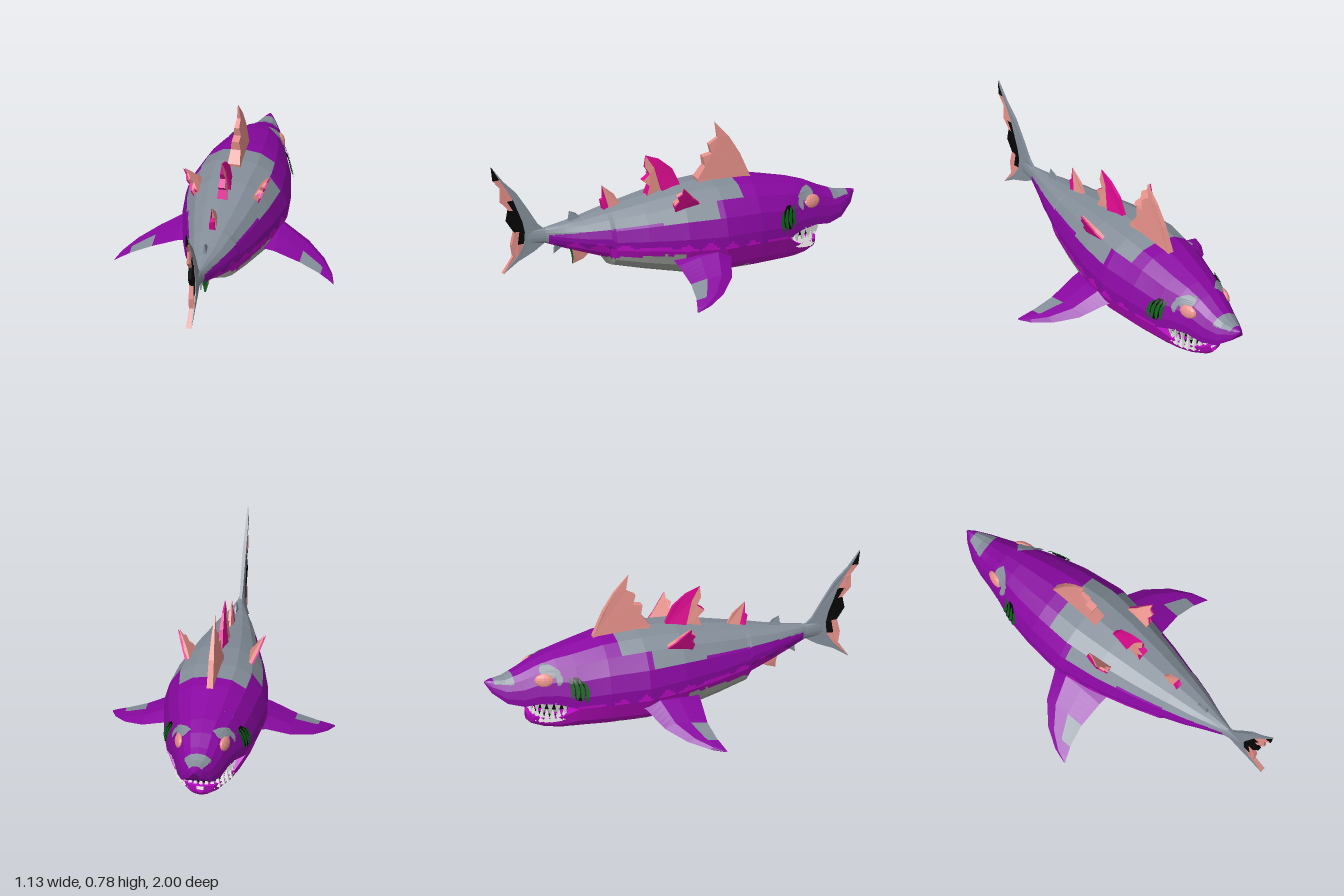
import * as THREE from 'three';

const mat = (name, color) => {
  const m = new THREE.MeshStandardMaterial({ color, flatShading: true, side: THREE.DoubleSide });
  m.name = name;
  return m;
};
const M = {
  purple: mat('purple skin', 0x8a08a2), bright: mat('bright violet', 0xb80ac0),
  slate: mat('slate grey', 0x858f9a), belly: mat('belly grey', 0xa2a79f),
  salmon: mat('salmon', 0xea938c), magenta: mat('magenta', 0xde0a90),
  black: mat('black', 0x050505), white: mat('tooth white', 0xffffff), green: mat('dark green', 0x0d5f1a),
};

// Half outline of the body: [width fraction, height fraction], top to bottom
const SPLIT = 0.38;
const BODY = [[0, 1], [0.4, 0.97], [0.69, 0.875], [0.9, 0.71], [1, 0.52], [1, SPLIT], [0.85, 0.19], [0.68, 0.1], [0.46, 0.045], [0, 0]];
const UPPER = [...BODY.slice(0, 6).map(([x, y]) => [x, (y - SPLIT) / (1 - SPLIT)]), [0, 0]];
const LOWER = [[0, 1], ...BODY.slice(5).map(([x, y]) => [x, y / SPLIT])];

// Stations along the length: [z, half width, top, bottom]
const TRUNK = [[-0.56, 0.2, 0.44, 0.01], [-0.4, 0.237, 0.475, 0.008], [-0.2, 0.262, 0.49, 0.01], [0, 0.237, 0.48, 0.03],
  [0.2, 0.19, 0.445, 0.075], [0.36, 0.143, 0.415, 0.115], [0.385, 0.135, 0.41, 0.16], [0.5, 0.098, 0.385, 0.2],
  [0.6, 0.058, 0.37, 0.235], [0.7, 0.022, 0.357, 0.275], [0.8, 0.01, 0.36, 0.28]];
const HEAD = [[-1, 0.004, 0.306, 0.296], [-0.97, 0.035, 0.312, 0.25], [-0.9, 0.08, 0.318, 0.2], [-0.82, 0.11, 0.35, 0.185],
  [-0.74, 0.135, 0.39, 0.2], [-0.65, 0.165, 0.42, 0.195], [-0.56, 0.2, 0.44, 0.173]];
const JAW = [[-0.78, 0.02, 0.1, 0.06], [-0.76, 0.07, 0.1, 0.04], [-0.7, 0.11, 0.1, 0.02], [-0.63, 0.155, 0.12, 0.012], [-0.56, 0.2, 0.173, 0.01]];

const lerp = THREE.MathUtils.lerp;
// Linear subdivision keeps the broad facets but allows fine colour borders
function subdivide(rows, step) {
  const out = [rows[0]];
  for (let i = 1; i < rows.length; i++) {
    const a = rows[i - 1], b = rows[i], n = step(a, b);
    for (let k = 1; k <= n; k++) out.push(a.map((v, c) => lerp(v, b[c], k / n)));
  }
  return out;
}

// Quads between consecutive closed rings
function skin(rings) {
  const quads = [];
  for (let i = 0; i + 1 < rings.length; i++) {
    const p = rings[i], q = rings[i + 1], n = p.length;
    for (let j = 0; j < n; j++) quads.push([p[j], q[j], q[(j + 1) % n], p[(j + 1) % n]]);
  }
  return quads;
}
// Quads sorted into one geometry group per material
function paintedMesh(name, quads, rule) {
  const sets = new Map();
  for (const q of quads) {
    const m = rule(...[0, 1, 2].map(k => (q[0][k] + q[1][k] + q[2][k] + q[3][k]) / 4));
    if (!sets.has(m)) sets.set(m, []);
    sets.get(m).push(...[0, 2, 3, 0, 1, 2].flatMap(k => q[k]));
  }
  const geo = new THREE.BufferGeometry(), all = [], mats = [...sets.keys()];
  mats.forEach((m, i) => {
    geo.addGroup(all.length / 3, sets.get(m).length / 3, i);
    for (const v of sets.get(m)) all.push(v);
  });
  geo.setAttribute('position', new THREE.Float32BufferAttribute(all, 3));
  geo.computeVertexNormals();
  const mesh = new THREE.Mesh(geo, mats);
  mesh.name = name;
  return mesh;
}
function loft(name, stations, profile, rule) {
  const half = subdivide(profile, () => 5);
  const outline = [...half, ...half.slice(1, -1).reverse().map(([x, y]) => [-x, y])];
  const rows = subdivide(stations, (a, b) => Math.ceil((b[0] - a[0]) / 0.016));
  return paintedMesh(name, skin(rows.map(([z, w, t, b]) => outline.map(([x, y]) => [x * w, lerp(b, t, y), z]))), rule);
}

const zigzag = z => 0.05 * Math.abs(((z * 9) % 1 + 1) % 1 - 0.5) + 0.008 * Math.sin(z * 47);
function bodyColour(x, y, z) {
  if (z > 0.68) return M.slate;
  if (z > -0.33 && y > (z < -0.17 ? 0.425 : 0.355 - 0.03 * Math.max(0, z / 0.6))) return M.slate;
  if (z > -0.5 && z < 0.385 && y < (z > 0.02 ? 0.18 : z > -0.35 ? 0.055 : 0.02) + zigzag(z) * 0.4) return M.belly;
  return y < 0.21 + 0.07 * z + zigzag(z) ? M.bright : M.purple;
}

// Half width of the skin at a given z and y
function skinX(z, y) {
  const [S, P] = z < -0.56 ? [HEAD, UPPER] : [TRUNK, BODY];
  const i = Math.max(1, S.findIndex(s => s[0] >= z)), a = S[i - 1], b = S[i];
  const [, w, t, bot] = a.map((v, c) => lerp(v, b[c], (z - a[0]) / (b[0] - a[0])));
  const f = (y - bot) / (t - bot), j = Math.max(1, P.findIndex(p => p[1] <= f));
  return w * lerp(P[j - 1][0], P[j][0], (f - P[j - 1][1]) / (P[j][1] - P[j - 1][1]));
}

// Upright blade from a [z, y] outline, thinning towards the tip and the leading edge
function fin(name, pts, material, half, yBase, yTip) {
  const shape = new THREE.Shape(pts.map(([z, y]) => new THREE.Vector2(-z, y)));
  const geo = new THREE.ExtrudeGeometry(shape, { depth: 1, bevelEnabled: false });
  geo.translate(0, 0, -0.5).rotateY(Math.PI / 2);
  const zs = pts.map(q => q[0]), z0 = Math.min(...zs), z1 = Math.max(...zs);
  const p = geo.attributes.position;
  for (let i = 0; i < p.count; i++) {
    const k = THREE.MathUtils.clamp((p.getY(i) - yBase) / (yTip - yBase), 0, 0.95);
    const edge = Math.min(1, 0.45 + (p.getZ(i) - z0) / (z1 - z0));
    p.setX(i, 2 * p.getX(i) * half * (1 - k) * edge);
  }
  geo.computeVertexNormals();
  const mesh = new THREE.Mesh(geo, material);
  mesh.name = name;
  return mesh;
}

function pectoralFin(s) {
  // [x, leading z, trailing z, height, half thickness]
  const st = [[0.16, -0.29, 0.08, 0.16, 0.05], [0.25, -0.22, 0.07, 0.14, 0.042], [0.38, -0.165, 0.06, 0.085, 0.024],
    [0.48, -0.075, 0.075, 0.045, 0.014], [0.54, 0.02, 0.095, 0.018, 0.008], [0.565, 0.095, 0.105, 0.004, 0.002]];
  const rings = subdivide(st, () => 5).map(([x, l, t, y, h]) =>
    [[0, 0], [0.25, 1], [0.6, 0.7], [1, 0], [0.6, -0.7], [0.25, -1]].map(([f, v]) => [s * x, y + v * h, lerp(l, t, f)]));
  // Reverse on one side so the faces look outward
  const quads = skin(s > 0 ? rings : rings.map(r => [...r].reverse()));
  const faceOrder = s > 0 ? [0, 1, 2, 3, 4, 5] : [4, 3, 2, 1, 0, 5];
  let j = 0;
  return paintedMesh(s > 0 ? 'leftPectoralFin' : 'rightPectoralFin', quads, (x, y, z) => {
    const face = faceOrder[j++ % 6], out = Math.abs(x);
    if (out > 0.54) return M.purple;
    if (face > 2) return face === 3 ? M.slate : M.belly;
    return out > 0.37 && out < 0.49 && z > 0.015 ? M.slate : M.purple;
  });
}

// Curved strip lying on the head, widest in the middle
function skinStrip(name, s, m, [z0, y0], [z1, y1], w) {
  const rings = [], n = 8;
  for (let i = 0; i <= n; i++) {
    const bow = Math.sin(i / n * Math.PI), y = lerp(y0, y1, i / n);
    const z = lerp(z0, z1, i / n) + 0.01 * bow, hw = w * (0.35 + 0.65 * bow);
    rings.push([z - hw, z + hw].map(q => [s * (skinX(q, y) + 0.009), y, q]));
  }
  return paintedMesh(name, skin(rings), () => m);
}

// Half ring of gum with teeth standing in front of it
function toothRow(name, width, reach, y, gumY, gumHeight, dir) {
  const row = new THREE.Group();
  row.name = name;
  const gum = new THREE.Mesh(new THREE.CylinderGeometry(1, 1, gumHeight, 20, 1, true, Math.PI / 2, Math.PI), M.black);
  gum.name = 'gum';
  gum.scale.set(width - 0.012, 1, reach - 0.012);
  gum.position.set(0, gumY, -0.6);
  row.add(gum);
  const geo = new THREE.ConeGeometry(0.022, 0.072, 4);
  for (let i = -7; i <= 7; i++) {
    const u = (i / 7) * 1.46;
    const tooth = new THREE.Mesh(geo, M.white);
    tooth.name = 'tooth';
    tooth.position.set(width * Math.sin(u), y + (dir > 0 ? 0.03 * (i / 7) ** 2 : 0), -0.6 - reach * Math.cos(u));
    tooth.rotation.set(dir > 0 ? 0 : Math.PI, Math.PI / 4, 0);
    row.add(tooth);
  }
  return row;
}

export function createModel() {
  const g = new THREE.Group();
  g.name = 'shark';
  g.add(loft('trunk', TRUNK, BODY, bodyColour));
  g.add(loft('upperHead', HEAD, UPPER, (x, y, z) => z > -0.95 && z < -0.865 && y > 0.295 ? M.slate : M.purple));
  g.add(loft('lowerJaw', JAW, LOWER, () => M.bright));

  // Mouth
  const lining = new THREE.Mesh(new THREE.BoxGeometry(0.16, 0.13, 0.14), M.belly);
  lining.name = 'mouthLining';
  lining.position.set(0, 0.14, -0.62);
  g.add(lining);
  g.add(toothRow('upperTeeth', 0.152, 0.185, 0.168, 0.18, 0.05, -1));
  g.add(toothRow('lowerTeeth', 0.138, 0.15, 0.108, 0.105, 0.03, 1));

  for (const s of [1, -1]) {
    const side = s > 0 ? 'left' : 'right';
    g.add(pectoralFin(s));

    // Eye under a grey brow, and gill slits
    const eye = new THREE.Mesh(new THREE.SphereGeometry(1, 12, 8), M.salmon);
    eye.name = side + 'Eye';
    eye.scale.set(0.017, 0.035, 0.05);
    eye.position.set(s * skinX(-0.72, 0.322), 0.322, -0.72);
    eye.rotation.set(0, s * 0.3, s * 0.25);
    g.add(eye);
    g.add(skinStrip(side + 'Brow', s, M.slate, [-0.695, 0.335], [-0.7, 0.39], 0.05));
    g.add(skinStrip(side + 'EyeCorner', s, M.slate, [-0.655, 0.3], [-0.66, 0.37], 0.016));
    g.add(skinStrip(side + 'GillShadow', s, M.black, [-0.56, 0.225], [-0.57, 0.34], 0.036));
    for (let k = 0; k < 4; k++) {
      const gill = skinStrip(side + 'Gill', s, M.green, [-0.597 + k * 0.024, 0.235 - k * 0.006], [-0.605 + k * 0.024, 0.34 - k * 0.006], 0.01);
      gill.position.x = s * 0.004;
      g.add(gill);
    }

    // Leaning side fin: salmon inside, magenta outside
    const sideFin = new THREE.Group();
    sideFin.name = side + 'SideFin';
    const pts = [[-0.1, 0], [-0.04, 0.06], [0, 0.11], [0.03, 0.145], [0.03, 0.11], [0.055, 0.09], [0.04, 0.06], [0.06, 0.03], [0.05, -0.02], [-0.08, -0.02]];
    [[M.salmon, -0.004], [M.magenta, 0.004]].forEach(([m, dx]) => {
      const blade = fin('sideFinBlade', pts, m, 0.018, 0, 0.15);
      blade.position.x = s * dx;
      sideFin.add(blade);
    });
    sideFin.position.set(s * 0.152, 0.412, 0);
    sideFin.rotation.z = -s * 0.49;
    g.add(sideFin);
  }

  // Fins along the back and under the tail
  g.add(fin('dorsalFin', [[-0.43, 0.46], [-0.37, 0.6], [-0.31, 0.7], [-0.235, 0.785], [-0.25, 0.7], [-0.2, 0.67], [-0.215, 0.62],
    [-0.165, 0.61], [-0.175, 0.56], [-0.13, 0.5], [-0.14, 0.46]], M.salmon, 0.036, 0.46, 0.785));
  g.add(fin('secondFinFront', [[-0.05, 0.46], [0.0, 0.57], [0.07, 0.63], [0.145, 0.66], [0.1, 0.59], [0.06, 0.45]], M.magenta, 0.03, 0.45, 0.67));
  g.add(fin('secondFinRear', [[0.145, 0.66], [0.1, 0.59], [0.06, 0.45], [0.15, 0.44], [0.13, 0.5], [0.165, 0.53], [0.125, 0.56], [0.15, 0.6]], [M.salmon, M.magenta], 0.028, 0.45, 0.67));
  g.add(fin('thirdFinFront', [[0.28, 0.41], [0.32, 0.48], [0.385, 0.535], [0.35, 0.41]], M.salmon, 0.018, 0.41, 0.54));
  g.add(fin('thirdFinRear', [[0.385, 0.535], [0.365, 0.47], [0.395, 0.46], [0.38, 0.4], [0.345, 0.4]], M.magenta, 0.018, 0.41, 0.54));
  g.add(fin('fourthFin', [[0.5, 0.375], [0.53, 0.41], [0.565, 0.425], [0.57, 0.36]], M.slate, 0.012, 0.375, 0.43));
  g.add(fin('analFin', [[0.44, 0.2], [0.49, 0.16], [0.545, 0.14], [0.545, 0.18], [0.56, 0.24]], [M.salmon, M.green], 0.02, 0.22, 0.12));
  g.add(fin('smallKeelFin', [[0.59, 0.25], [0.65, 0.21], [0.64, 0.28]], M.slate, 0.012, 0.25, 0.2));

  // Tail: grey leading strip, then two ragged bands of black and salmon
  const lead = [[0.995, 0.725], [0.93, 0.64], [0.86, 0.57], [0.8, 0.48], [0.74, 0.385], [0.69, 0.34], [0.69, 0.285], [0.76, 0.24], [0.85, 0.2], [0.93, 0.145]];
  const mid = [[0.995, 0.725], [0.95, 0.65], [0.91, 0.59], [0.875, 0.53], [0.85, 0.47], [0.825, 0.41], [0.81, 0.35], [0.815, 0.29], [0.85, 0.23], [0.93, 0.145]];
  const trail = [[0.995, 0.725], [0.985, 0.65], [0.945, 0.6], [0.945, 0.53], [0.9, 0.48], [0.91, 0.42], [0.87, 0.36], [0.885, 0.29], [0.875, 0.23], [0.93, 0.145]];
  const centre = mid.map(([z, y], i) => [lerp(z, trail[i][0], 0.5), lerp(y, trail[i][1], 0.5)]);
  g.add(fin('tailLeadingStrip', [...lead, ...mid.slice(1, -1).reverse()], M.slate, 0.014, 0.3, 0.95));
  const bands = [[mid, centre, 'BSSBBBBSS'], [centre, trail, 'BSSSBBSSS']];
  for (const [a, b, code] of bands) for (let i = 0; i < 9; i++) {
    const corners = i === 0 ? [a[0], a[1], b[1]] : i === 8 ? [a[8], a[9], b[8]] : [a[i], a[i + 1], b[i + 1], b[i]];
    g.add(fin('tailBand', corners, code[i] === 'B' ? M.black : M.salmon, 0.012, 0.3, 0.95));
  }
  return g;
}
